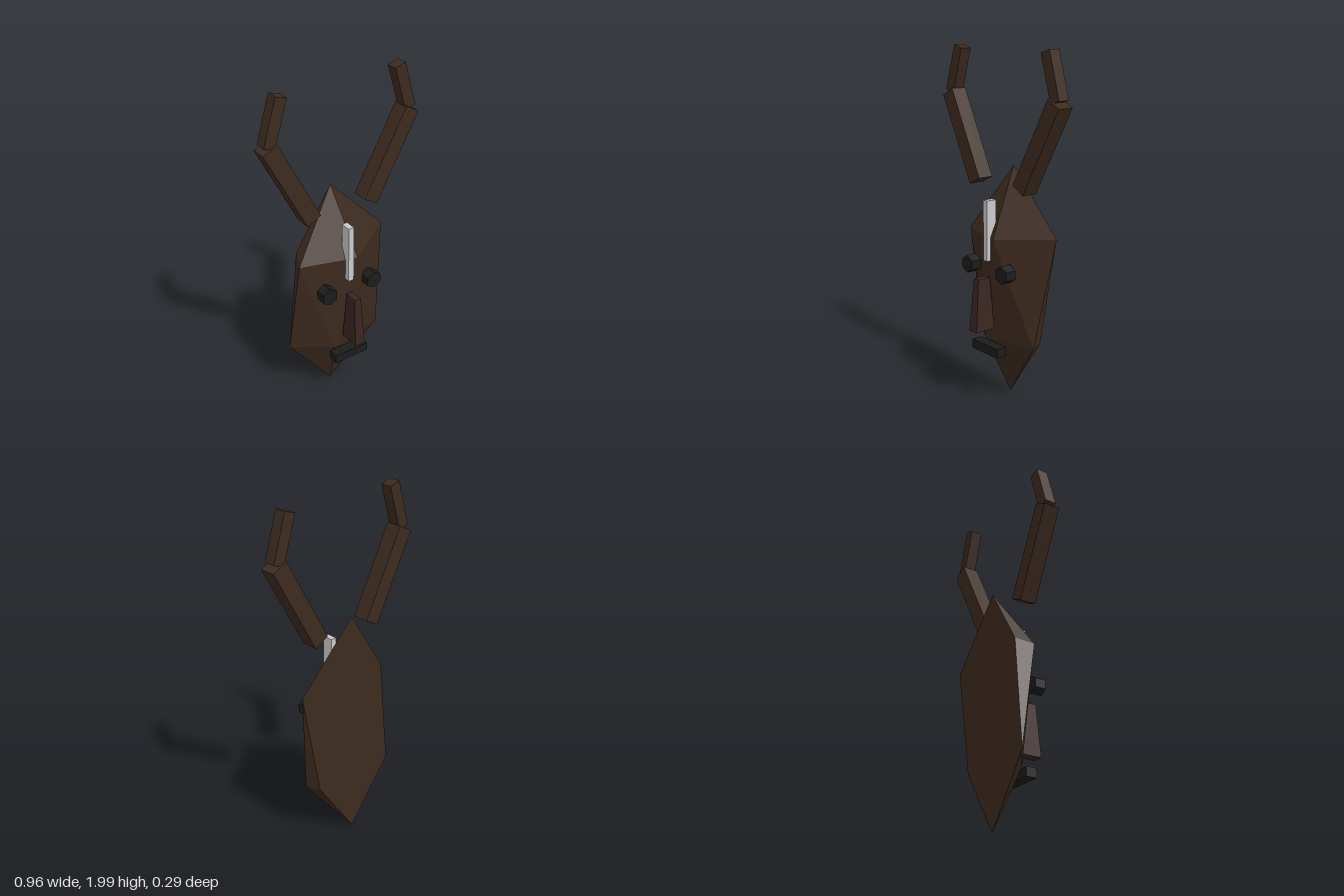
import * as THREE from 'three';
import { ConvexGeometry } from 'three/addons/geometries/ConvexGeometry.js';

const mat = (color) => new THREE.MeshStandardMaterial({ color, flatShading: true });

export function createModel() {
  const group = new THREE.Group();
  const wood = mat(0x3d2b1f);
  const noseWood = mat(0x3a2522);
  const black = mat(0x1c1c1c);
  const grey = mat(0xcccccc);

  const add = (name, geometry, material, x = 0, y = 0, z = 0) => {
    const mesh = new THREE.Mesh(geometry, material);
    mesh.name = name;
    mesh.position.set(x, y, z);
    group.add(mesh);
    return mesh;
  };

  // Mask: faceted irregular shell with a flat back
  const back = -0.145;
  const corners = [
    [-0.01, 1.36, back], [-0.03, 0.01, back], // crown and chin
    [-0.24, 1.0, back], [-0.28, 0.97, -0.05], [0.04, 0.97, 0.047], [0.34, 1.0, back], // brow
    [-0.305, 0.37, back], [-0.08, 0.36, 0], [0.255, 0.375, -0.065], [0.22, 0.375, back], // jaw
  ];
  add('mask', new ConvexGeometry(corners.map((p) => new THREE.Vector3(...p))), wood);

  // Antlers: two square bars per side, each laid from one point to the next
  const bar = (name, [x0, y0], [x1, y1], size) => {
    const dx = x1 - x0, dy = y1 - y0;
    const geometry = new THREE.BoxGeometry(size, Math.hypot(dx, dy), size);
    const mesh = add(name, geometry, wood, (x0 + x1) / 2, (y0 + y1) / 2, -0.063);
    mesh.rotation.z = Math.atan2(-dx, dy);
  };
  bar('rightAntlerLower', [-0.198, 1.255], [-0.44, 1.735], 0.094);
  bar('rightAntlerUpper', [-0.438, 1.737], [-0.36, 1.99], 0.067);
  bar('leftAntlerLower', [0.17, 1.255], [0.435, 1.735], 0.094);
  bar('leftAntlerUpper', [0.431, 1.739], [0.355, 1.99], 0.067);

  // Eyes: short hexagonal pegs facing forward
  for (const [name, x] of [['rightEye', -0.16], ['leftEye', 0.137]]) {
    const peg = new THREE.CylinderGeometry(0.051, 0.051, 0.065, 6).rotateX(Math.PI / 2);
    add(name, peg, black, x, 0.795, 0.038);
  }

  // Nose: four-sided taper, narrow across
  const nose = new THREE.CylinderGeometry(0.04 * Math.SQRT2, 0.064 * Math.SQRT2, 0.3, 4)
    .rotateY(Math.PI / 4).scale(0.5, 1, 1);
  add('nose', nose, noseWood, -0.012, 0.6, 0.083);

  // Mouth and forehead stripe
  add('mouth', new THREE.BoxGeometry(0.22, 0.053, 0.064), black, -0.012, 0.33, 0.033);
  add('foreheadStripe', new THREE.BoxGeometry(0.034, 0.34, 0.064), grey, -0.012, 1.013, 0.026);

  return group;
}
